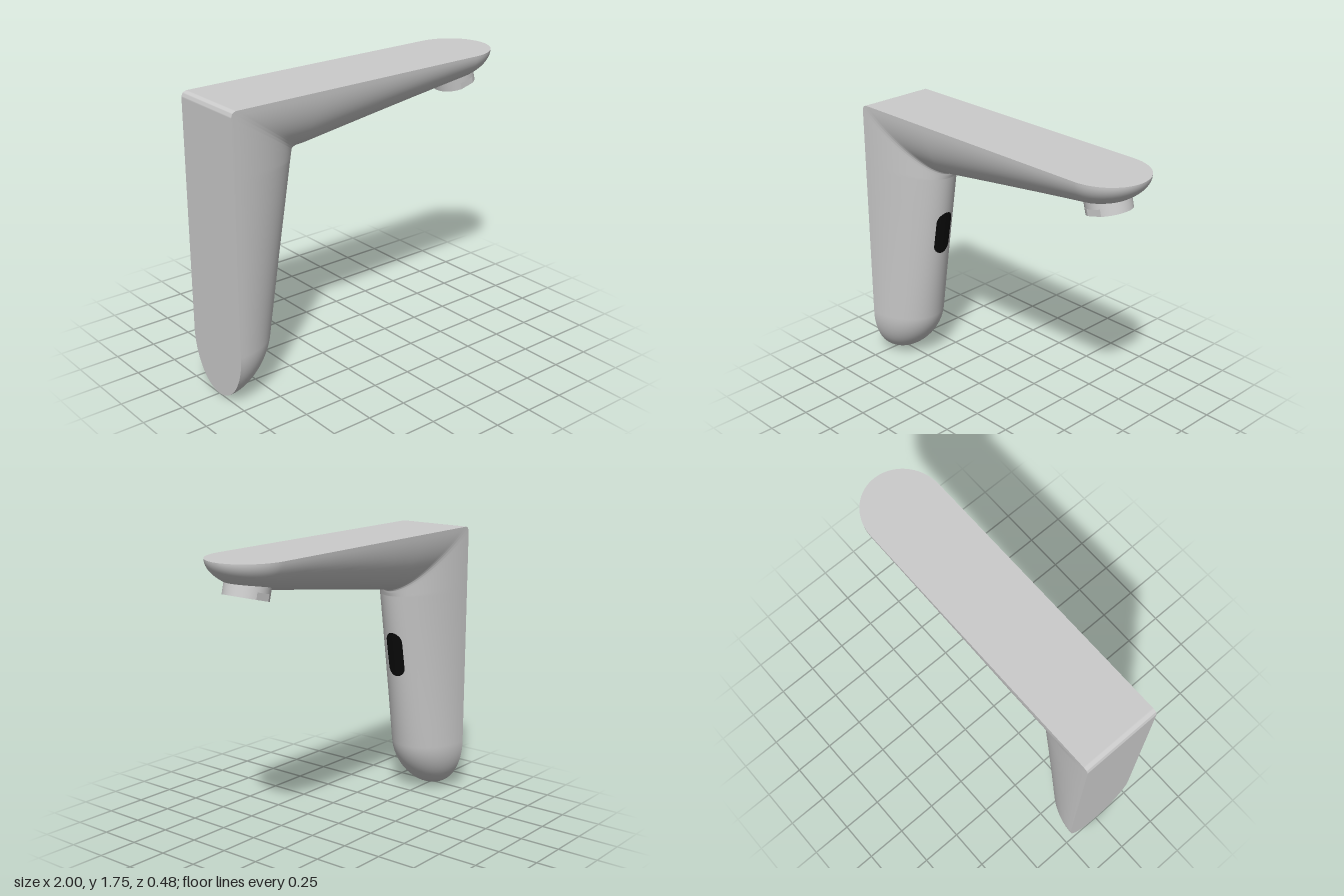
import * as THREE from 'three';

const grey = new THREE.MeshStandardMaterial({ color: 0xcccccc });
const black = new THREE.MeshStandardMaterial({ color: 0x0a0a0a });
const W = 0.24;                                     // half width of the body
const frontX = y => -0.68 + 0.182 * (y - 0.3);      // front line of the column
const underY = x => 1.4 + 0.145 * (x + 0.45);       // underside line of the spout

// Smooth surface over a grid of points fn(row, column)
function grid(rows, cols, fn) {
  const pos = [], idx = [];
  for (let i = 0; i <= rows; i++) for (let j = 0; j <= cols; j++) pos.push(...fn(i, j));
  for (let i = 0; i < rows; i++) for (let j = 0; j < cols; j++) {
    const a = i * (cols + 1) + j, b = a + cols + 1;
    idx.push(a, a + 1, b, a + 1, b + 1, b);
  }
  const g = new THREE.BufferGeometry();
  g.setAttribute('position', new THREE.Float32BufferAttribute(pos, 3));
  g.setIndex(idx);
  g.computeVertexNormals();
  return g;
}

function add(parent, name, geometry, material = grey) {
  const mesh = new THREE.Mesh(geometry, material);
  mesh.name = name;
  parent.add(mesh);
  return mesh;
}

// Half-ellipse sections [flat side x, y, rounded tip x, y, half width], foot to spout end
function bodySections() {
  const keys = [], out = [], N = 20;
  for (let i = 0; i < N; i++) {                     // rounded foot
    const a = i / N * Math.PI / 2, y = 0.33 * (1 - Math.cos(a)), e = Math.sin(a);
    out.push([-1, y, -1 + (frontX(y) + 1) * Math.pow(e, 1.15), y, W * e]);
  }
  keys.push(
    [-1, 0.33, frontX(0.33), 0.33, W],
    [-1, 1.34, frontX(1.34), 1.35, W],
    [-1, 1.69, -0.483, 1.372, W],                   // mitred, softly rounded elbow
    [-1, 1.72, -0.48, 1.384, W],
    [-0.991, 1.741, -0.474, 1.392, W],
    [-0.97, 1.75, -0.462, 1.397, W],
    [-0.94, 1.75, -0.45, 1.4, W],
    [-0.42, 1.75, -0.42, underY(-0.42), W],
    [0.74, 1.75, 0.74, underY(0.74), W]);
  for (let k = 0; k < keys.length - 1; k++)
    for (let s = 0; s < 6; s++) out.push(keys[k].map((v, n) => v + (keys[k + 1][n] - v) * s / 6));
  for (let i = 0; i <= N; i++) {                    // rounded spout end
    const a = i / N * Math.PI / 2, x = 0.74 + 0.26 * Math.sin(a), e = Math.cos(a);
    out.push([x, 1.75, x, 1.75 - (1.75 - underY(x)) * e, W * e]);
  }
  return out;
}

function bodyPart(group) {
  const s = bodySections(), rows = s.length - 1, cols = 40;
  add(group, 'roundedBody', grid(rows, cols, (i, j) => {
    const [px, py, qx, qy, w] = s[i], t = j / cols * Math.PI, d = Math.sin(t);
    return [px + (qx - px) * d, py + (qy - py) * d, w * Math.cos(t)];
  }));
  add(group, 'flatBackAndTop', grid(rows, 1, (i, j) => [s[i][0], s[i][1], s[i][4] * (j ? 1 : -1)]));
}

// Stadium-shaped sensor window following the column's curve
function sensorPart(group) {
  const r = 0.06, lo = 0.82, hi = 1.11, rows = 40, cols = 12;
  add(group, 'sensorWindow', grid(rows, cols, (i, j) => {
    const y = lo + (hi - lo) * (1 - Math.cos(Math.PI * i / rows)) / 2;
    const over = Math.max(0, lo + r - y, y - hi + r);
    const z = Math.sqrt(Math.max(0, r * r - over * over)) * (1 - 2 * j / cols);
    const depth = frontX(y) + 1;
    return [-1 + depth * Math.sqrt(1 - (z / W) ** 2) + 0.004, y, z];
  }), black);
}

// Tilted outlet with flats on both sides and a mesh screen
function aeratorPart(group) {
  const outlet = new THREE.Group();
  outlet.name = 'aerator';
  outlet.position.set(0.785, 1.533, 0);
  outlet.rotation.z = 0.255;
  group.add(outlet);

  const R = 0.13, hole = 0.105, flat = Math.asin(0.121 / R);
  const ring = new THREE.Shape();
  ring.absarc(0, 0, R, -flat, flat, false);
  ring.absarc(0, 0, R, Math.PI - flat, Math.PI + flat, false);
  ring.closePath();
  ring.holes.push(new THREE.Path().absarc(0, 0, hole, 0, Math.PI * 2, true));
  const lower = new THREE.ExtrudeGeometry(ring, { depth: 0.04, bevelEnabled: false, curveSegments: 40 });
  add(outlet, 'outletRing', lower.rotateX(-Math.PI / 2));
  add(outlet, 'outletCollar', new THREE.CylinderGeometry(R, R, 0.05, 48)).position.y = 0.065;
  add(outlet, 'screenBacking', new THREE.CylinderGeometry(hole, hole, 0.01, 40), black).position.y = 0.025;

  for (const turn of [Math.PI / 4, -Math.PI / 4]) {
    const bars = new THREE.Group();
    bars.name = 'screenBars';
    bars.rotation.y = turn;
    bars.position.y = 0.018;
    for (let k = -5; k <= 5; k++) {
      const z = k * 0.018, len = 2 * Math.sqrt(hole * hole - z * z);
      add(bars, 'screenBar', new THREE.BoxGeometry(len, 0.006, 0.005)).position.z = z;
    }
    outlet.add(bars);
  }
}

export function createModel() {
  const group = new THREE.Group();
  group.name = 'sensorTap';
  bodyPart(group);
  sensorPart(group);
  aeratorPart(group);
  return group;
}
